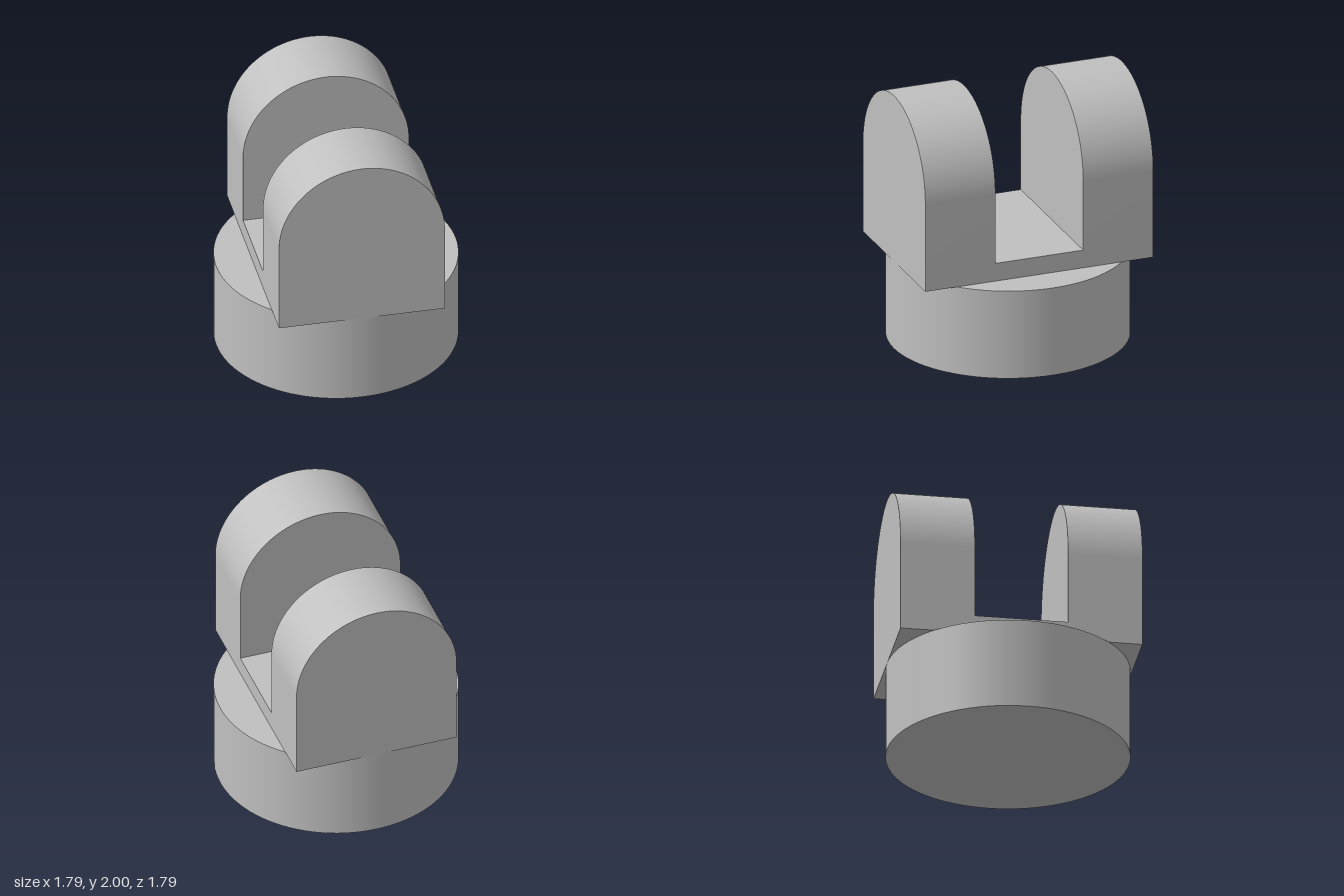
import * as THREE from 'three';
import { toCreasedNormals } from 'three/addons/utils/BufferGeometryUtils.js';

const RADIUS = 0.895;      // base radius, also the outer reach of the arms
const BASE_TOP = 0.69;
const FLOOR_TOP = 0.83;
const HALF_WIDTH = 0.62;   // arm half width and radius of its rounded top
const HALF_GAP = 0.345;
const TOP = 2;

export function createModel() {
  const model = new THREE.Group();
  model.name = 'clevis';
  const grey = new THREE.MeshStandardMaterial({ color: 0xc0c0c0 });
  grey.name = 'plain grey';

  const add = (name, geometry, x, y, z) => {
    const mesh = new THREE.Mesh(geometry, grey);
    mesh.name = name;
    mesh.position.set(x, y, z);
    model.add(mesh);
  };

  // Round base
  add('base', new THREE.CylinderGeometry(RADIUS, RADIUS, BASE_TOP, 96), 0, BASE_TOP / 2, 0);

  // Floor of the slot between the arms
  const floorHeight = FLOOR_TOP - BASE_TOP;
  add('slotFloor', new THREE.BoxGeometry(HALF_WIDTH * 2, floorHeight, HALF_GAP * 2),
    0, BASE_TOP + floorHeight / 2, 0);

  // Two upright arms with half-round tops
  const arch = new THREE.Shape();
  arch.moveTo(-HALF_WIDTH, BASE_TOP);
  arch.lineTo(HALF_WIDTH, BASE_TOP);
  arch.lineTo(HALF_WIDTH, TOP - HALF_WIDTH);
  arch.absarc(0, TOP - HALF_WIDTH, HALF_WIDTH, 0, Math.PI, false);
  arch.closePath();
  const arm = toCreasedNormals(new THREE.ExtrudeGeometry(arch, {
    depth: RADIUS - HALF_GAP, bevelEnabled: false, curveSegments: 48,
  }), 0.5);
  add('frontArm', arm, 0, 0, HALF_GAP);
  add('backArm', arm, 0, 0, -RADIUS);

  return model;
}
